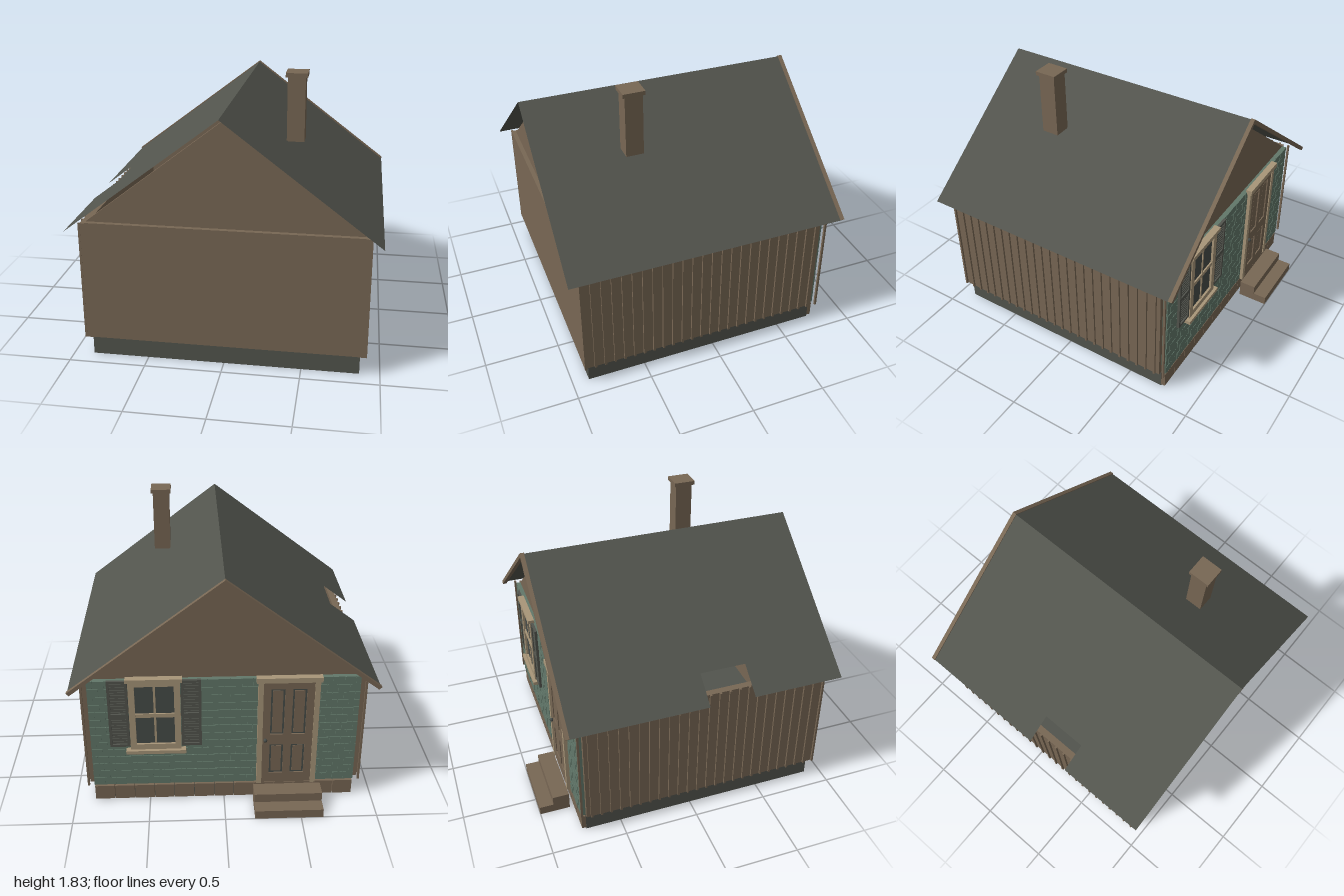
import * as THREE from 'three';
import { mergeGeometries } from 'three/addons/utils/BufferGeometryUtils.js';

const mat = (name, color, side = THREE.FrontSide) => {
  const m = new THREE.MeshStandardMaterial({ color, side });
  m.name = name;
  return m;
};

export function createModel() {
  const house = new THREE.Group();
  house.name = 'house';

  const wood = mat('brown wood', 0x786754);
  const slate = mat('grey slate', 0x52544d, THREE.DoubleSide);
  const green = mat('green shingle', 0x62786a);
  const trim = mat('tan trim', 0xa89679);
  const dark = mat('dark glass', 0x474c49);

  // Box geometry from its limits on each axis
  const boxGeo = (x0, x1, y0, y1, z0, z1) =>
    new THREE.BoxGeometry(x1 - x0, y1 - y0, z1 - z0)
      .translate((x0 + x1) / 2, (y0 + y1) / 2, (z0 + z1) / 2);
  const add = (name, material, geos) => {
    const mesh = new THREE.Mesh(Array.isArray(geos) ? mergeGeometries(geos) : geos, material);
    mesh.name = name;
    house.add(mesh);
    return mesh;
  };
  const box = (name, material, ...lim) => add(name, material, boxGeo(...lim));
  const extrude = (points, z, depth) =>
    new THREE.ExtrudeGeometry(new THREE.Shape(points.map(p => new THREE.Vector2(...p))),
      { depth, bevelEnabled: false }).translate(0, 0, z);

  // Foundation and hollow walls
  box('foundation', slate, -0.87, 0.87, 0, 0.137, -0.74, 0.89);
  box('frontWall', wood, -0.87, 0.87, 0.137, 0.938, 0.87, 0.92);
  box('backWall', wood, -0.87, 0.87, 0.13, 0.938, -0.74, -0.71);
  for (const s of [-1, 1]) {
    const a = 0.855 * s, b = 0.9 * s;
    box('sideWall', wood, Math.min(a, b), Math.max(a, b), 0.135, 0.935, -0.74, 0.92);
    // Battens, the last one standing beside the shingled face
    const battens = [];
    for (let i = 0; i < 26; i++) {
      const z = 0.914 - i * 0.0675;
      const c = 0.906 * s;
      battens.push(boxGeo(c - 0.007, c + 0.007, 0.135, 0.935, z - 0.007, z + 0.007));
    }
    add('sideBattens', wood, battens);
  }

  // Gables
  const gable = [[-0.87, 0.938], [0.87, 0.938], [0, 1.612]];
  add('frontGable', wood, extrude(gable, 0.865, 0.025));
  add('backGable', wood, extrude(gable, -0.74, 0.025));

  // Thin roof sheets, one with a notch at the eave
  const ridge = 1.65, eave = 0.98, pitch = 0.762;
  const roofSheet = (name, plan) => {
    const shape = new THREE.Shape(plan.map(([x, z]) => new THREE.Vector2(x, -z)));
    const g = new THREE.ShapeGeometry(shape).rotateX(-Math.PI / 2);
    const p = g.attributes.position;
    for (let i = 0; i < p.count; i++) p.setY(i, ridge - pitch * Math.abs(p.getX(i)));
    g.computeVertexNormals();
    add(name, slate, g);
  };
  roofSheet('leftRoof', [[0, 1], [eave, 1], [eave, -0.84], [0, -0.84]]);
  roofSheet('rightRoof', [[0, 1], [0, -0.84], [-eave, -0.84], [-eave, 0.07],
    [-0.8, 0.07], [-0.8, 0.38], [-eave, 0.38], [-eave, 1]]);
  add('bargeboard', wood, extrude([[0, 1.657], [-0.984, 0.91], [-0.966, 0.892],
    [0, 1.625], [0.966, 0.892], [0.984, 0.91]], -0.862, 0.027));

  // Chimney
  box('chimney', wood, 0.342, 0.455, 1.382, 1.8, 0.33, 0.447);
  box('chimneyCap', wood, 0.33, 0.468, 1.798, 1.825, 0.317, 0.462);

  // Shingled back face: staggered courses over a backing
  box('shingleBacking', green, -0.87, 0.87, 0.13, 0.938, -0.768, -0.74);
  const shingles = [], rows = 14, h = 0.808 / rows, w = 1.74 / 24;
  for (let r = 0; r < rows; r++) {
    const y = 0.13 + r * h;
    for (let i = 0; i <= 24; i++) {
      const x = -0.87 + (i - (r % 2) / 2) * w;
      const x0 = Math.max(x, -0.87), x1 = Math.min(x + w - 0.004, 0.87);
      if (x1 - x0 < 0.01) continue;
      shingles.push(boxGeo(x0, x1, y + 0.003, y + h, -0.772 - 0.002 * (i % 2), -0.767));
    }
  }
  add('shingles', green, shingles);

  // Skirting blocks under the shingles
  const blocks = [], bw = 1.74 / 13;
  for (let i = 0; i < 13; i++) {
    const x = -0.87 + i * bw;
    blocks.push(boxGeo(x + 0.002, x + bw - 0.002, 0.01, 0.115, -0.768, -0.738));
  }
  add('skirtingBlocks', wood, blocks);

  // Window
  const wx = 0.445;
  box('windowGlass', dark, wx - 0.13, wx + 0.13, 0.43, 0.935, -0.78, -0.773);
  const rect = (cx, hw, y0, y1, t, z0, z1) => [
    boxGeo(cx - hw, cx - hw + t, y0, y1, z0, z1), boxGeo(cx + hw - t, cx + hw, y0, y1, z0, z1),
    boxGeo(cx - hw + t, cx + hw - t, y0, y0 + t, z0, z1),
    boxGeo(cx - hw + t, cx + hw - t, y1 - t, y1, z0, z1)];
  add('windowFrame', trim, [
    ...rect(wx, 0.165, 0.43, 0.945, 0.04, -0.795, -0.768),
    boxGeo(wx - 0.125, wx + 0.125, 0.672, 0.7, -0.79, -0.772),
    boxGeo(wx - 0.007, wx + 0.007, 0.45, 0.93, -0.786, -0.772)]);
  box('windowSill', trim, wx - 0.195, wx + 0.195, 0.405, 0.43, -0.815, -0.768);
  box('windowCrown', trim, wx - 0.18, wx + 0.18, 0.94, 0.965, -0.81, -0.765);

  // Shutters with louvres
  for (const s of [-1, 1]) {
    const cx = wx + s * 0.233, parts = [];
    parts.push(...rect(cx, 0.065, 0.45, 0.945, 0.017, -0.79, -0.772));
    parts.push(boxGeo(cx - 0.05, cx + 0.05, 0.67, 0.7, -0.79, -0.772));
    parts.push(boxGeo(cx - 0.05, cx + 0.05, 0.46, 0.94, -0.778, -0.772));
    for (let i = 0; i < 22; i++) {
      const y = 0.478 + i * 0.0205;
      parts.push(boxGeo(cx - 0.05, cx + 0.05, y, y + 0.011, -0.783, -0.777));
    }
    add('shutter', slate, parts);
  }

  // Door with four recessed panels
  const dx = -0.412;
  box('doorCore', wood, dx - 0.165, dx + 0.165, 0.135, 0.92, -0.779, -0.766);
  const stiles = [-0.165, -0.025, 0.115].map(x =>
    boxGeo(dx + x, dx + x + 0.05, 0.135, 0.92, -0.79, -0.777));
  const rails = [[0.135, 0.21], [0.44, 0.52], [0.865, 0.92]].flatMap(([a, b]) =>
    [-0.115, 0.025].map(x => boxGeo(dx + x, dx + x + 0.09, a, b, -0.79, -0.777)));
  add('doorStilesAndRails', wood, [...stiles, ...rails]);
  const panels = [], shadows = [];
  for (const x of [-0.07, 0.07]) for (const [a, b] of [[0.21, 0.44], [0.52, 0.865]]) {
    shadows.push(boxGeo(dx + x - 0.045, dx + x + 0.045, a, b, -0.781, -0.778));
    panels.push(boxGeo(dx + x - 0.033, dx + x + 0.033, a + 0.013, b - 0.013, -0.786, -0.779));
  }
  add('doorPanelRecesses', dark, shadows);
  add('doorPanels', wood, panels);
  add('doorKnob', dark, new THREE.SphereGeometry(0.013, 12, 8).translate(dx + 0.145, 0.48, -0.8));
  add('doorFrame', trim, [-1, 1].map(s =>
    boxGeo(dx + s * 0.181 - 0.017, dx + s * 0.181 + 0.017, 0.13, 0.93, -0.797, -0.766)));
  box('doorCrown', trim, dx - 0.21, dx + 0.21, 0.92, 0.955, -0.808, -0.765);

  // Steps
  box('upperStep', wood, -0.645, -0.195, 0, 0.122, -0.907, -0.795);
  box('lowerStep', wood, -0.645, -0.195, 0, 0.06, -1, -0.907);

  return house;
}
